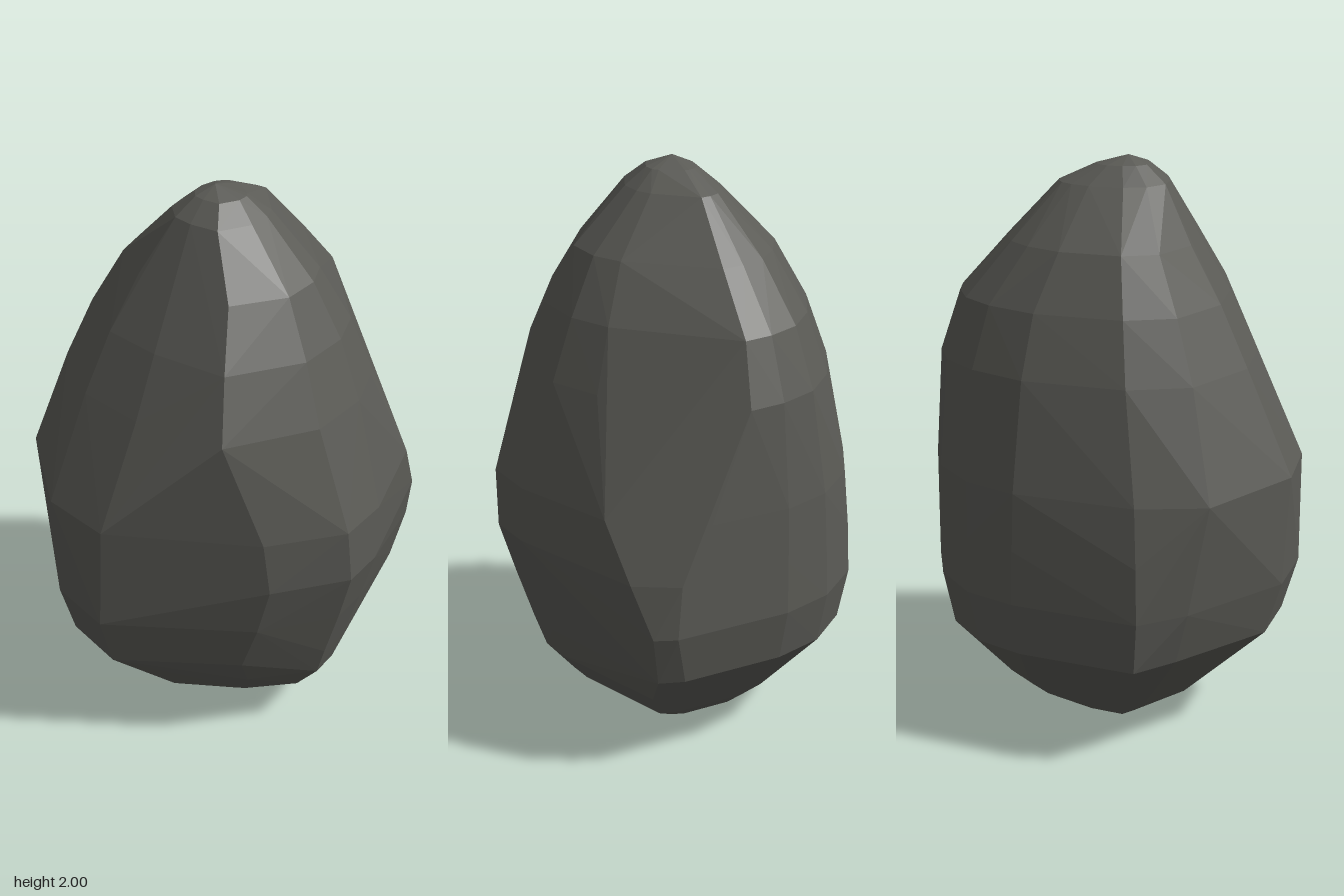
import * as THREE from 'three';
import { ConvexGeometry } from 'three/addons/geometries/ConvexGeometry.js';

// Unit outlines seen from above (x, z), and the height at which each one applies
const OUTLINES = [
  { y: 0.37, ring: [[1, 0.5], [0.95, 0.66], [0.12, 0.97], [-0.1, 1], [-0.53, 0.69], [-1, 0.02],
    [-0.92, -0.36], [-0.44, -0.82], [-0.22, -1], [0.46, -0.83], [0.72, -0.69], [0.92, -0.44], [1, -0.15]] },
  { y: 0.65, ring: [[1, 0.54], [0.95, 0.65], [0.12, 0.97], [-0.1, 1], [-0.48, 0.77], [-1, 0.02],
    [-0.93, -0.36], [-0.48, -0.85], [-0.22, -1], [0.46, -0.82], [0.73, -0.68], [0.92, -0.43], [1, -0.15]] },
  { y: 0.95, ring: [[1, 0.3], [0.7, 0.75], [0.15, 0.97], [-0.15, 1], [-0.53, 0.75], [-1, 0.05],
    [-0.96, -0.38], [-0.575, -0.93], [-0.2, -1], [0.45, -0.85], [0.73, -0.68], [0.92, -0.43], [1, -0.15]] },
  { y: 1.35, ring: [[1, 0.08], [0.43, 0.82], [0.18, 0.97], [-0.25, 1], [-0.9, 0.7], [-1, 0.1],
    [-0.96, -0.4], [-0.63, -0.88], [-0.18, -1], [0.42, -0.88], [0.72, -0.66], [0.9, -0.42], [0.98, -0.15]] },
];

// Slices: height, reach to -x, +x, -z, +z
const SLICES = [
  [0, 0.16, 0.18, 0.19, 0.10],
  [0.06, 0.27, 0.33, 0.26, 0.27],
  [0.13, 0.34, 0.41, 0.34, 0.40],
  [0.25, 0.465, 0.50, 0.48, 0.50],
  [0.37, 0.59, 0.60, 0.62, 0.54],
  [0.56, 0.645, 0.64, 0.655, 0.60],
  [0.75, 0.645, 0.64, 0.64, 0.655],
  [0.95, 0.645, 0.64, 0.61, 0.65],
  [1.32, 0.48, 0.63, 0.51, 0.53],
  [1.53, 0.38, 0.56, 0.43, 0.45],
  [1.72, 0.27, 0.39, 0.33, 0.35],
  [1.91, 0.17, 0.21, 0.14, 0.17],
  [1.97, 0.10, 0.08, 0.07, 0.10],
];

// Outline at a given height, blended between the two nearest
function outlineAt(y) {
  const upper = OUTLINES.findIndex((o, i) => i > 0 && (y < o.y || i === OUTLINES.length - 1));
  const a = OUTLINES[upper - 1], b = OUTLINES[upper];
  const t = THREE.MathUtils.clamp((y - a.y) / (b.y - a.y), 0, 1);
  return a.ring.map(([x, z], i) => [
    THREE.MathUtils.lerp(x, b.ring[i][0], t),
    THREE.MathUtils.lerp(z, b.ring[i][1], t),
  ]);
}

export function createModel() {
  const group = new THREE.Group();
  group.name = 'boulder';

  // Stretch the outline of each slice to its reach and wrap all of it in flat facets
  const points = [new THREE.Vector3(-0.03, 2, 0)];
  for (const [y, left, right, back, front] of SLICES) {
    for (const [x, z] of outlineAt(y)) {
      points.push(new THREE.Vector3(x * (x < 0 ? left : right), y, z * (z < 0 ? back : front)));
    }
  }

  const stone = new THREE.Mesh(
    new ConvexGeometry(points),
    new THREE.MeshStandardMaterial({ color: 0x5b5b56, flatShading: true }),
  );
  stone.name = 'stone';
  group.add(stone);
  return group;
}
